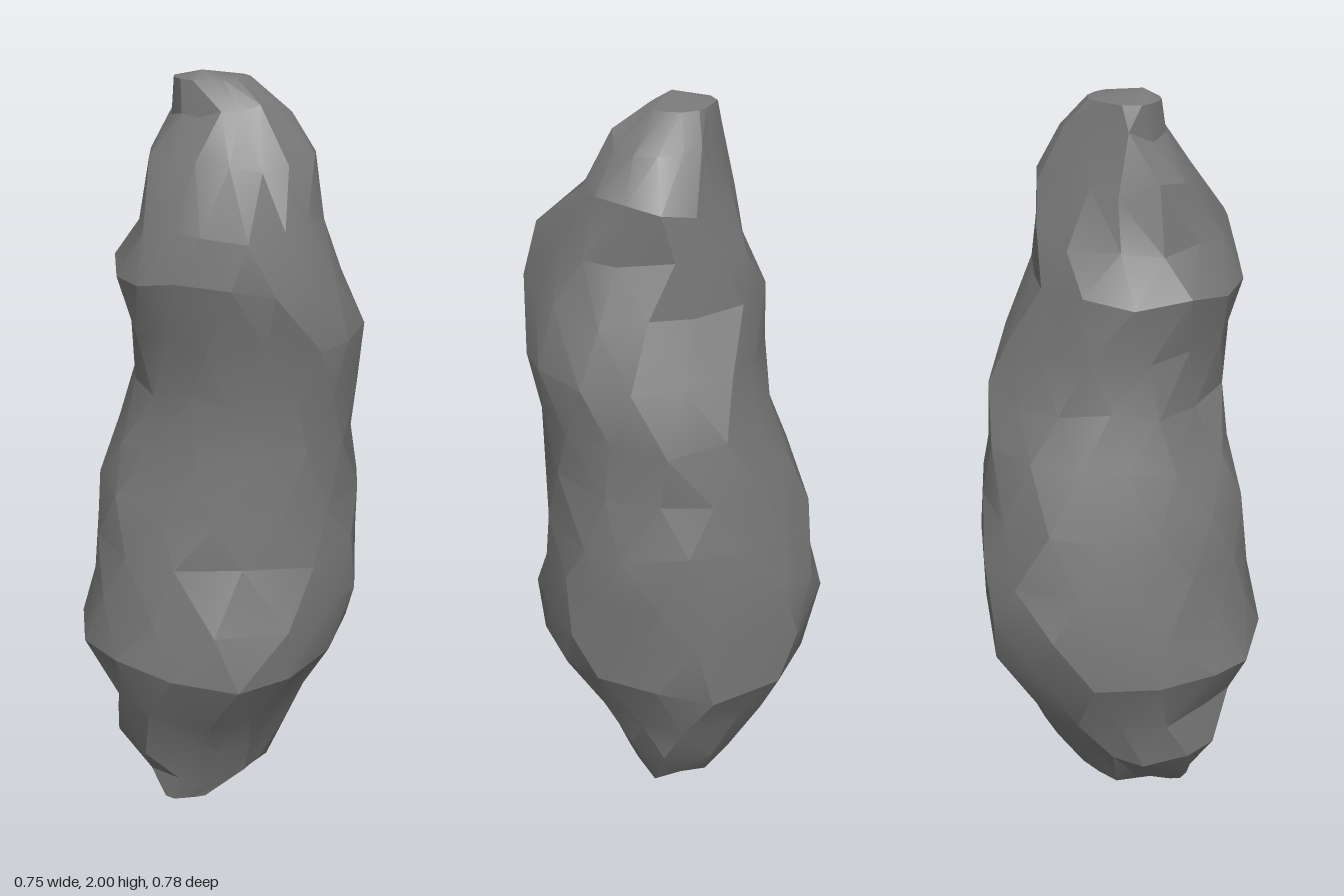
import * as THREE from 'three';
import { toCreasedNormals } from 'three/addons/utils/BufferGeometryUtils.js';

// Each section: height, then its reach from the axis in eight directions,
// from +x (left) by +z (front), -x (right) and -z (back), 45 degrees apart
const SECTIONS = [
  [0.01, -0.03, 0.05, 0.12, 0.19, 0.165, 0.07, -0.05, -0.07],
  [0.08, 0.145, 0.13, 0.145, 0.2, 0.21, 0.14, 0.11, 0.13],
  [0.22, 0.235, 0.175, 0.195, 0.28, 0.28, 0.245, 0.19, 0.225],
  [0.36, 0.25, 0.245, 0.285, 0.325, 0.28, 0.27, 0.265, 0.29],
  [0.53, 0.345, 0.345, 0.385, 0.37, 0.372, 0.345, 0.36, 0.355],
  [0.68, 0.36, 0.372, 0.375, 0.355, 0.33, 0.345, 0.4, 0.37],
  [0.82, 0.365, 0.362, 0.325, 0.33, 0.32, 0.325, 0.38, 0.37],
  [0.96, 0.372, 0.35, 0.315, 0.31, 0.3, 0.305, 0.345, 0.365],
  [1.11, 0.345, 0.35, 0.305, 0.28, 0.26, 0.255, 0.305, 0.35],
  [1.26, 0.36, 0.355, 0.32, 0.265, 0.215, 0.215, 0.25, 0.335],
  [1.4, 0.35, 0.375, 0.345, 0.285, 0.22, 0.21, 0.225, 0.285],
  [1.54, 0.295, 0.335, 0.4, 0.305, 0.26, 0.23, 0.21, 0.215],
  [1.66, 0.235, 0.285, 0.385, 0.27, 0.2, 0.165, 0.18, 0.205],
  [1.79, 0.235, 0.235, 0.21, 0.175, 0.165, 0.15, 0.125, 0.205],
  [1.91, 0.175, 0.17, 0.13, 0.105, 0.105, 0.12, 0.095, 0.14],
  [1.98, 0.08, 0.08, 0.065, 0.09, 0.1, 0.11, 0.075, 0.08],
];
const SIDES = 14;
const ROUNDNESS = 14;

// Small seeded generator, -1 to 1
function seeded(seed) {
  return () => {
    seed = (seed * 16807) % 2147483647;
    return (seed / 2147483647) * 2 - 1;
  };
}

// Radius of a softened eight-sided outline around (cx, cz), in direction (dx, dz)
function outlineRadius(reach, cx, cz, dx, dz) {
  let sum = 0;
  reach.forEach((distance, k) => {
    const nx = Math.cos((k * Math.PI) / 4), nz = Math.sin((k * Math.PI) / 4);
    const facing = Math.max(0, dx * nx + dz * nz);
    sum += (facing / (distance - cx * nx - cz * nz)) ** ROUNDNESS;
  });
  return sum ** (-1 / ROUNDNESS);
}

function rockGeometry() {
  const rand = seeded(4711);
  const positions = [];
  const indices = [];
  const last = SECTIONS.length - 1;

  // Rings, every other one turned half a step, with uneven corners
  SECTIONS.forEach(([y, ...reach], row) => {
    const unevenness = row === 0 || row === last ? 0 : 0.02;
    const cx = (reach[0] - reach[4]) / 2;
    const cz = (reach[2] - reach[6]) / 2;
    for (let i = 0; i < SIDES; i++) {
      const a = ((i + (row % 2) / 2 + rand() * 0.15) / SIDES) * Math.PI * 2;
      const dx = Math.sin(a), dz = Math.cos(a);
      const r = outlineRadius(reach, cx, cz, dx, dz) * (1.01 + rand() * 0.02);
      positions.push(cx + r * dx, y + rand() * unevenness, cz + r * dz);
    }
  });

  // Side facets
  for (let row = 0; row < last; row++) {
    for (let i = 0; i < SIDES; i++) {
      const j = (i + 1) % SIDES;
      const a = row * SIDES + i, b = row * SIDES + j;
      const c = a + SIDES, d = b + SIDES;
      if (row % 2) indices.push(a, d, c, a, b, d);
      else indices.push(a, b, c, b, d, c);
    }
  }

  // Bottom and top tips
  const bottom = positions.length / 3;
  positions.push(-0.1, 0, 0.09, -0.04, 2, 0.03);
  for (let i = 0; i < SIDES; i++) {
    const j = (i + 1) % SIDES;
    indices.push(bottom, j, i, bottom + 1, last * SIDES + i, last * SIDES + j);
  }

  const geometry = new THREE.BufferGeometry();
  geometry.setAttribute('position', new THREE.Float32BufferAttribute(positions, 3));
  geometry.setIndex(indices);

  // Soft shading on gentle facets, sharp ridges elsewhere
  return toCreasedNormals(geometry, 0.35);
}

export function createModel() {
  const group = new THREE.Group();
  group.name = 'standingRock';
  const material = new THREE.MeshStandardMaterial({ color: 0x7a7a7a });
  const rock = new THREE.Mesh(rockGeometry(), material);
  rock.name = 'rock';
  group.add(rock);
  return group;
}
